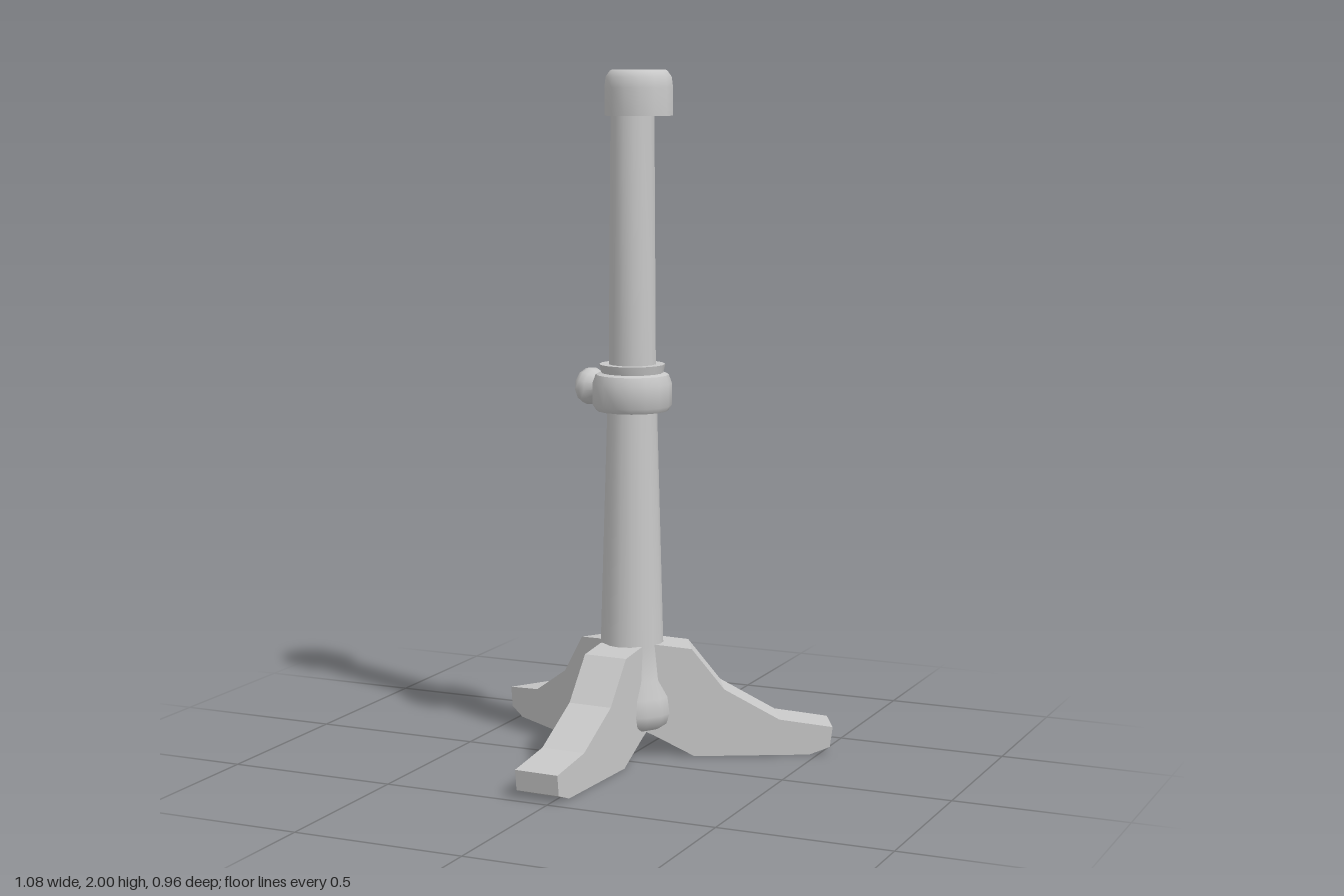
import * as THREE from 'three';
import { toCreasedNormals } from 'three/addons/utils/BufferGeometryUtils.js';

const AXIS_X = -0.015, AXIS_Z = -0.105;

export function createModel() {
  const model = new THREE.Group();
  const grey = new THREE.MeshStandardMaterial({ color: 0xc8c8c8 });
  grey.name = 'light grey';

  // everything is built around the post axis
  const stand = new THREE.Group();
  stand.name = 'stand';
  stand.position.set(AXIS_X, 0, AXIS_Z);
  model.add(stand);

  const add = (name, geometry) => {
    const mesh = new THREE.Mesh(geometry, grey);
    mesh.name = name;
    stand.add(mesh);
    return mesh;
  };
  const turned = (name, profile, sides = 16) => {
    const points = profile.map(([r, y]) => new THREE.Vector2(r, y));
    return add(name, toCreasedNormals(new THREE.LatheGeometry(points, sides), 0.8));
  };

  // lower post with a swollen foot between the legs
  turned('lowerPost', [
    [0, 0.085], [0.1, 0.085], [0.12, 0.1], [0.127, 0.13], [0.122, 0.18],
    [0.1, 0.23], [0.092, 0.33], [0.072, 1.04],
  ]);

  // height collar with a lip on top
  turned('collar', [
    [0.07, 1.02], [0.105, 1.02], [0.115, 1.035], [0.115, 1.1],
    [0.106, 1.125], [0.09, 1.13], [0.096, 1.155], [0.06, 1.155],
  ]);

  turned('upperPost', [[0.07, 1.1], [0.064, 1.9]], 14);

  // end cap, slightly off the axis
  const cap = turned('cap', [
    [0, 1.87], [0.1, 1.87], [0.1, 1.95], [0.096, 1.98], [0.084, 1.997], [0.078, 2], [0, 2],
  ], 14);
  cap.position.set(0.021, 0, 0.004);

  // clamping knob on the collar
  const knob = turned('clampKnob', [
    [0.032, 0], [0.03, 0.035], [0.05, 0.058], [0.056, 0.075], [0.052, 0.092], [0.043, 0.1], [0, 0.1],
  ], 12);
  const outward = new THREE.Vector3(-0.93, 0, -0.36).normalize();
  knob.quaternion.setFromUnitVectors(new THREE.Vector3(0, 1, 0), outward);
  knob.position.copy(outward).multiplyScalar(0.095).setY(1.075);

  // three flat-sided legs cut from one side outline
  const width = 0.133;
  const outline = new THREE.Shape([
    [0.038, 0.075], [0.06, 0.065], [0.18, 0], [0.52, 0], [0.58, 0.022], [0.588, 0.082],
    [0.43, 0.107], [0.267, 0.2], [0.171, 0.322], [0.075, 0.335], [0.038, 0.335],
  ].map(([r, y]) => new THREE.Vector2(r, y)));
  const legGeometry = new THREE.ExtrudeGeometry(outline, { depth: width, bevelEnabled: false });
  legGeometry.translate(0, 0, -width / 2);
  ['frontLeg', 'rightLeg', 'leftLeg'].forEach((name, i) => {
    add(name, legGeometry).rotation.y = -THREE.MathUtils.degToRad(92.6 + 120 * i);
  });

  return model;
}
